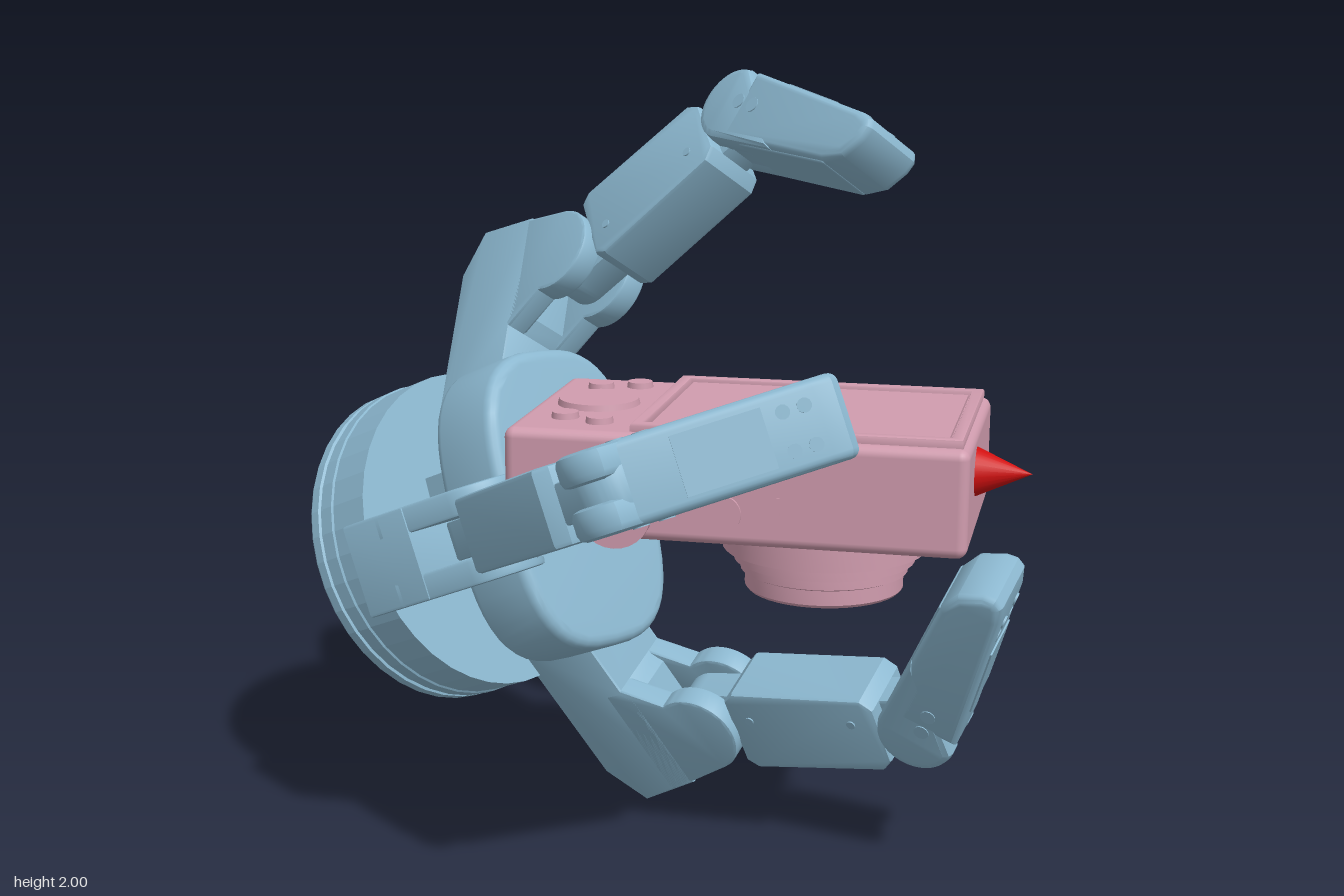
import * as THREE from 'three';
import { toCreasedNormals } from 'three/addons/utils/BufferGeometryUtils.js';
import { RoundedBoxGeometry } from 'three/addons/geometries/RoundedBoxGeometry.js';

const blue = new THREE.MeshStandardMaterial({ color: 0x8cb8d0 });
const pink = new THREE.MeshStandardMaterial({ color: 0xd09cae });
const red = new THREE.MeshStandardMaterial({ color: 0xd01010 });

function add(parent, name, geo, mat, x = 0, y = 0, z = 0) {
  const m = new THREE.Mesh(geo, mat);
  m.name = name;
  m.position.set(x, y, z);
  parent.add(m);
  return m;
}

function group(parent, name, x = 0, y = 0, z = 0) {
  const g = new THREE.Group();
  g.name = name;
  g.position.set(x, y, z);
  parent.add(g);
  return g;
}

// Extrudes a shape to the full width, centred on z, with a small bevel
function slab(shape, width, bevel = 0.008) {
  const geo = new THREE.ExtrudeGeometry(shape, {
    depth: width - 2 * bevel, curveSegments: 12, bevelSegments: bevel > 0.02 ? 4 : 2,
    bevelThickness: bevel, bevelSize: bevel, bevelOffset: -bevel,
  });
  geo.translate(0, 0, -width / 2 + bevel);
  return toCreasedNormals(geo, 0.6);
}

const poly = (pts) => new THREE.Shape(pts.map(([x, y]) => new THREE.Vector2(x, y)));

// Straight bar with round ends between x0 and x1
function capsule(x0, x1, r) {
  const s = new THREE.Shape();
  s.absarc(x1, 0, r, -Math.PI / 2, Math.PI / 2, false);
  s.absarc(x0, 0, r, Math.PI / 2, Math.PI * 1.5, false);
  return s;
}

// Rounded oval used by the palm, in two half sizes
function oval(a, b, power) {
  const pts = [];
  for (let i = 0; i < 48; i++) {
    const t = (i / 48) * Math.PI * 2, c = Math.cos(t), s = Math.sin(t);
    pts.push([a * Math.sign(c) * Math.abs(c) ** (2 / power), b * Math.sign(s) * Math.abs(s) ** (2 / power)]);
  }
  return poly(pts);
}

// Finger frame: origin at the knuckle, x along the palm normal, y outward, z the hinge
function makeFinger(hand, name, pos, turn, midLength, midAngle, tipAngle) {
  const finger = group(hand, name, ...pos);
  finger.rotation.x = turn;

  // Root bracket with a pivot hub and a forked knuckle
  add(finger, 'rootBracket', slab(poly([[-0.375, -0.4], [-0.14, -0.4], [-0.14, -0.19],
    [-0.11, -0.15], [-0.11, 0.145], [-0.305, 0.17], [-0.375, 0.05]]), 0.24), blue);
  add(finger, 'pivotHub', toCreasedNormals(new THREE.CylinderGeometry(0.12, 0.12, 0.235, 32), 0.6), blue, -0.2575, -0.4, 0)
    .rotation.z = Math.PI / 2;
  const cheek = new THREE.Shape();
  cheek.moveTo(-0.2, -0.19);
  cheek.lineTo(-0.14, -0.19);
  cheek.absarc(0, 0, 0.12, -1.9, 1.35, false);
  cheek.lineTo(-0.2, 0.157);
  for (const s of [-1, 1]) add(finger, 'knuckleCheek', slab(cheek, 0.067), blue, 0, 0, s * 0.0865);

  // Middle link with a tongue at each end
  const mid = group(finger, 'middleLink');
  mid.rotation.z = midAngle;
  const end = midLength - 0.09;
  add(mid, 'middleBody', slab(poly([[0.11, -0.1], [0.14, -0.125], [end - 0.03, -0.115], [end, -0.085],
    [end, 0.085], [end - 0.03, 0.115], [0.14, 0.125], [0.11, 0.1]]), 0.19, 0.012), blue);
  add(mid, 'middleTongue', slab(capsule(0, midLength, 0.085), 0.1), blue);
  for (const s of [-1, 1]) for (const x of [0.17, 0.47]) {
    add(mid, 'screw', new THREE.CylinderGeometry(0.012, 0.012, 0.006, 10), blue, x, -0.04, s * 0.096)
      .rotation.x = Math.PI / 2;
  }

  // Fingertip: rounded hinge cheeks running into a tapered body, cover plate and screws
  const tip = group(finger, 'fingertip', midLength * Math.cos(midAngle), midLength * Math.sin(midAngle), 0);
  tip.rotation.z = tipAngle;
  const tipCheek = new THREE.Shape();
  tipCheek.moveTo(0.25, 0.093);
  tipCheek.absarc(0, 0, 0.104, Math.PI / 2, Math.PI * 1.5, false);
  tipCheek.lineTo(0.25, -0.085);
  for (const s of [-1, 1]) add(tip, 'tipCheek', slab(tipCheek, 0.075, 0.02), blue, 0, 0, s * 0.0615);
  add(tip, 'tipBody', slab(poly([[0.04, -0.098], [0.45, -0.072], [0.51, -0.045], [0.545, 0.01],
    [0.55, 0.042], [0.535, 0.064], [0.49, 0.075], [0.04, 0.102]]), 0.198, 0.022), blue);
  add(tip, 'tipPad', new RoundedBoxGeometry(0.34, 0.014, 0.17, 2, 0.006), blue, 0.28, -0.079, 0).rotation.z = 0.06;
  add(tip, 'coverPlate', new THREE.BoxGeometry(0.21, 0.008, 0.14), blue, 0.26, 0.089, 0).rotation.z = -0.06;
  for (const s of [-1, 1]) {
    for (const x of [0.41, 0.46]) add(tip, 'screw', new THREE.CylinderGeometry(0.017, 0.017, 0.012, 12), blue, x, 0.075, s * 0.045);
    for (const x of [0.04, 0.1]) {
      add(tip, 'hingeScrew', new THREE.CylinderGeometry(0.02, 0.02, 0.008, 12), blue, x, 0.01, s * 0.098)
        .rotation.x = Math.PI / 2;
    }
  }
}

// Hand frame: x is the palm normal, y the long side of the palm
function makeHand(root) {
  const n = new THREE.Vector3(0.835, 0.39, 0.385).normalize();
  const u = new THREE.Vector3(-0.31, 0.92, -0.25);
  u.addScaledVector(n, -u.dot(n)).normalize();
  const w = n.clone().cross(u);
  const hand = group(root, 'gripperHand', -0.71, 0.68, -0.345);
  hand.quaternion.setFromRotationMatrix(new THREE.Matrix4().makeBasis(n, u, w));

  // Round base with a grooved rim
  const profile = [[0, 0], [0.432, 0], [0.437, 0.008], [0.437, 0.035], [0.43, 0.038], [0.43, 0.052],
    [0.438, 0.056], [0.438, 0.09], [0.434, 0.095], [0.434, 0.215], [0, 0.215]]
    .map(([x, y]) => new THREE.Vector2(x, y));
  const base = add(hand, 'base', toCreasedNormals(new THREE.LatheGeometry(profile, 40), 0.1), blue);
  base.rotation.z = -Math.PI / 2;

  // Palm plate, held off the base by a block so the hubs sit in the gap
  add(hand, 'palmPlate', slab(oval(0.285, 0.402, 2.9), 0.22, 0.03), blue, 0.475, 0, 0).rotation.y = Math.PI / 2;
  add(hand, 'spacerBlock', new THREE.BoxGeometry(0.24, 0.28, 0.56), blue, 0.315, 0.015, -0.1);

  makeFinger(hand, 'topFinger', [0.585, 0.61, -0.233], -0.524, 0.633, 0.41, -0.6);
  makeFinger(hand, 'frontFinger', [0.595, -0.053, 0.392], 1.66, 0.65, 0.32, -0.71);
  makeFinger(hand, 'bottomFinger', [0.574, -0.631, -0.318], 3.665, 0.635, 0.26, -0.72);
}

function makeCamera(root) {
  const cam = group(root, 'heldCamera');
  add(cam, 'body', new RoundedBoxGeometry(1.11, 0.26, 0.626, 3, 0.025), pink, 0.268, 1.065, 0.052);

  // Screen: raised frame with a recessed panel
  const frame = poly([[0.02, -0.338], [0.805, -0.338], [0.805, 0.25], [0.02, 0.25]]);
  frame.holes.push(poly([[0.05, -0.308], [0.05, 0.22], [0.775, 0.22], [0.775, -0.308]]));
  add(cam, 'screenFrame', slab(frame, 0.04, 0.006), pink, 0, 1.195, 0).rotation.x = -Math.PI / 2;
  add(cam, 'screen', new THREE.BoxGeometry(0.71, 0.02, 0.51), pink, 0.413, 1.195, 0.044);

  // Control dial and buttons
  add(cam, 'dial', new THREE.CylinderGeometry(0.1, 0.105, 0.02, 32), pink, -0.13, 1.2, 0.045);
  for (const [x, z] of [[-0.17, -0.135], [-0.075, -0.17], [-0.17, 0.22], [-0.075, 0.255]]) {
    add(cam, 'button', new THREE.CylinderGeometry(0.032, 0.035, 0.02, 20), pink, x, 1.2, z);
  }

  // Details on the long edge
  for (const [x, y, r, d] of [[-0.01, 1.01, 0.092, 0.05], [0.25, 1.015, 0.045, 0.025]]) {
    add(cam, 'edgeKnob', new THREE.CylinderGeometry(r, r, d, 28), pink, x, y, 0.36).rotation.x = Math.PI / 2;
  }
  add(cam, 'edgeSlot', new THREE.BoxGeometry(0.012, 0.04, 0.016), pink, 0.38, 1.04, 0.36);

  // Stepped lens barrel pointing down, with a shallow front opening
  const lens = [[0, 0.8], [0.1, 0.785], [0.12, 0.765], [0.19, 0.76], [0.197, 0.768], [0.197, 0.805],
    [0.208, 0.81], [0.208, 0.832], [0.225, 0.836], [0.225, 0.862], [0.253, 0.867], [0.253, 0.95]]
    .map(([x, y]) => new THREE.Vector2(x, y));
  add(cam, 'lens', toCreasedNormals(new THREE.LatheGeometry(lens, 40), 0.5), pink, 0.448, 0, 0.055);
  add(cam, 'lensWindow', new THREE.BoxGeometry(0.1, 0.02, 0.07), pink, 0.448, 0.79, 0.055);

  // Pointer cone on the short side
  add(cam, 'pointer', new THREE.ConeGeometry(0.063, 0.14, 24), red, 0.885, 1.1, 0.16).rotation.z = -Math.PI / 2;
}

export function createModel() {
  const root = new THREE.Group();
  root.name = 'gripperHoldingCamera';
  makeHand(root);
  makeCamera(root);
  return root;
}
